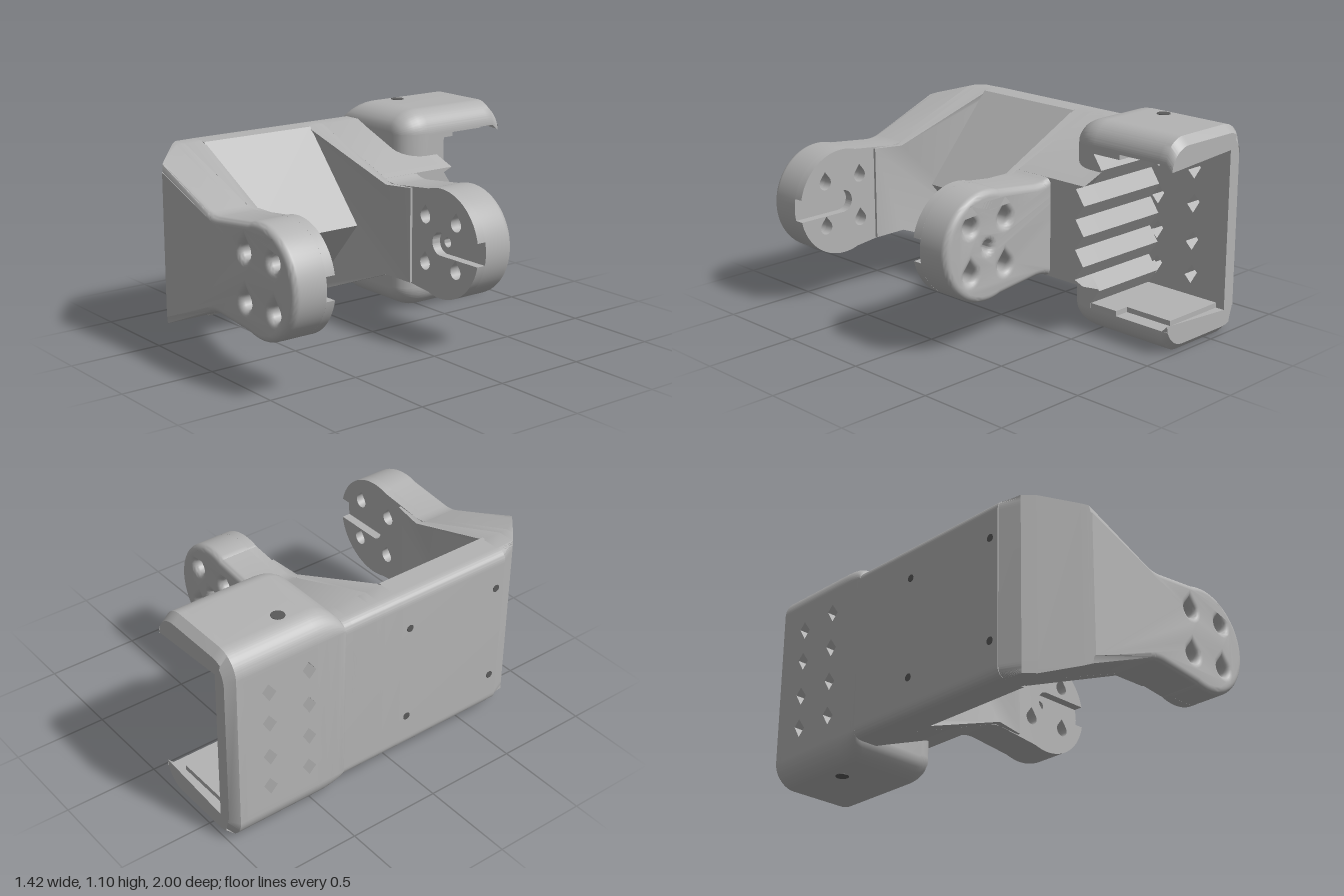
import * as THREE from 'three';
import { toCreasedNormals } from 'three/addons/utils/BufferGeometryUtils.js';

const MID = 0.547;                       // height of the symmetry plane
const plastic = new THREE.MeshStandardMaterial({ color: 0xb3b3b3 });
plastic.name = 'grey plastic';
const bore = new THREE.MeshStandardMaterial({ color: 0x5a5a5a });
bore.name = 'dark bore';

// Extrude a shape from z0 to z1; `bevel` rounds only the z1 end
function extrude(shape, z0, z1, { bevel = 0, thick = bevel, steps = 1 } = {}) {
  const depth = z1 - z0 - thick;
  const geo = new THREE.ExtrudeGeometry(shape, {
    depth, steps, curveSegments: 20, bevelEnabled: bevel > 0,
    bevelSize: bevel, bevelThickness: thick, bevelOffset: -bevel, bevelSegments: 6,
  });
  return reshape(geo, p => { p.z = Math.max(p.z, 0) + z0; });
}

function reshape(geo, rule) {
  const pos = geo.attributes.position, p = new THREE.Vector3();
  for (let i = 0; i < pos.count; i++) {
    p.fromBufferAttribute(pos, i);
    rule(p);
    pos.setXYZ(i, p.x, p.y, p.z);
  }
  return geo;
}

function add(group, name, geo, material = plastic) {
  const mesh = new THREE.Mesh(toCreasedNormals(geo.index ? geo.toNonIndexed() : geo, 0.6), material);
  mesh.name = name;
  group.add(mesh);
  return mesh;
}

const polygon = pts => new THREE.Shape(pts.map(([x, y]) => new THREE.Vector2(x, y)));

// Half height of the flared arm at x
const halfHeight = x => (x < -0.56 ? 0.465 : 0.465 - (x + 0.56) * 0.381);

// Rounded rear corners shared by all flared sections
function rearEdge(s) {
  s.lineTo(-0.65, 0.465);
  s.quadraticCurveTo(-0.71, 0.465, -0.71, 0.405);
  s.lineTo(-0.71, -0.405);
  s.quadraticCurveTo(-0.71, -0.465, -0.65, -0.465);
  return s;
}

// Flared outline ending in a round lug, optionally with a horn slot
function armOutline(slot) {
  const s = new THREE.Shape();
  s.moveTo(-0.65, -0.465);
  s.lineTo(-0.56, -0.465);
  s.lineTo(-0.01, -0.255);
  s.quadraticCurveTo(0.03, -0.24, 0.08, -0.243);
  s.lineTo(0.33, -0.27);
  if (slot) {
    s.absarc(0.42, 0, 0.285, -1.89, -0.212);
    s.lineTo(0.42, -0.06);
    s.absarc(0.42, 0, 0.06, -Math.PI / 2, Math.PI / 2, true);
    s.absarc(0.42, 0, 0.285, 0.212, 1.89);
  } else s.absarc(0.42, 0, 0.285, -1.89, 1.89);
  s.lineTo(0.08, 0.243);
  s.quadraticCurveTo(0.03, 0.24, -0.01, 0.255);
  s.lineTo(-0.56, 0.465);
  return rearEdge(s);
}

// Flared outline cut off at x
function flareOutline(x) {
  const s = new THREE.Shape();
  s.moveTo(-0.65, -0.465);
  s.lineTo(-0.56, -0.465);
  if (x > 0.03) s.lineTo(0.03, -0.24);
  s.lineTo(x, x > 0.03 ? -0.25 : -halfHeight(x));
  s.lineTo(x, x > 0.03 ? 0.25 : halfHeight(x));
  if (x > 0.03) s.lineTo(0.03, 0.24);
  s.lineTo(-0.56, 0.465);
  return rearEdge(s);
}

// Teardrop screw holes around the lug centre
function screwHoles(dir) {
  const holes = [], r = 0.038;
  for (const sx of [-1, 1]) for (const sy of [-1, 1]) {
    const pts = [new THREE.Vector2(0, r * 1.6 * dir)];
    for (let i = 0; i <= 16; i++) {
      const a = Math.PI * (0.75 + 1.5 * i / 16);
      pts.push(new THREE.Vector2(Math.cos(a) * r, Math.sin(a) * r * dir));
    }
    pts.forEach(p => p.add(new THREE.Vector2(0.42 + sx * 0.117, sy * 0.122)));
    holes.push(new THREE.Path(pts));
  }
  return holes;
}

// One arm, in the position of the front one, centred on y = 0
function makeArm(name, back) {
  const arm = new THREE.Group();
  arm.name = name;
  const chamfer = (p) => {
    const cx = -0.71 + (p.z - 0.72) * 1.07;
    if (back || p.x >= cx) return;
    p.x = cx;
    const h = halfHeight(cx) - (p.z > 0.99 ? 0.035 : 0);
    p.y = THREE.MathUtils.clamp(p.y, -h, h);
  };
  const outer = armOutline(false), inner = armOutline(true);
  outer.holes = screwHoles(back ? -1 : 1);
  inner.holes = screwHoles(back ? -1 : 1);
  if (back) outer.holes.push(new THREE.Path().absarc(0.42, 0, 0.025, 0, Math.PI * 2));
  add(arm, 'armOuterPlate', reshape(extrude(outer, 0.82, 1, { bevel: 0.035 }), chamfer));
  add(arm, 'armSlottedPlate', reshape(extrude(inner, 0.77, 0.82), chamfer));
  // Sloping gusset on the inner face
  add(arm, 'armGusset', reshape(extrude(flareOutline(0.2), 0.66, 0.77), p => {
    if (p.z < 0.7) p.z = 0.66 + Math.max(0, p.x + 0.54) * 0.13;
    chamfer(p);
  }));
  arm.position.y = MID;
  if (back) {
    arm.rotation.x = Math.PI;
    arm.position.z = 0.67;
  }
  return arm;
}

// Open pocket at the rear with a corrugated end
function makeHousing() {
  const g = new THREE.Group();
  g.name = 'rearHousing';
  const L = -0.71, R = -0.145, H = 0.547, r = 0.125;

  // Solid rounded end
  const block = new THREE.Shape();
  block.moveTo(L + r, -H);
  block.absarc(R - r, -H + r, r, -Math.PI / 2, 0);
  block.absarc(R - r, H - r, r, 0, Math.PI / 2);
  block.absarc(L + r, H - r, r, Math.PI / 2, Math.PI);
  block.absarc(L + r, -H + r, r, Math.PI, Math.PI * 1.5);
  add(g, 'roundedEnd', reshape(extrude(block, -0.5, -0.335, { bevel: 0.11, thick: 0.15 }), p => {
    const v = THREE.MathUtils.clamp((p.z + 0.485) / 0.15, 0, 1);
    const b = 0.11 * (1 - Math.sqrt(1 - v * v)), right = R - b;
    if (v > 0) p.x = right - (right - p.x) * (right - L) / (right - L - b);
  }));

  // Top and bottom walls, and the rim joining them
  const cap = (s) => {
    s.lineTo(R, H - r);
    s.absarc(R - r, H - r, r, 0, Math.PI / 2);
    s.absarc(L + r, H - r, r, Math.PI / 2, Math.PI);
    return s;
  };
  const top = new THREE.Shape();
  top.moveTo(-0.71, 0.395);
  top.lineTo(-0.6, 0.395);
  top.lineTo(-0.6, 0.42);
  top.lineTo(R, 0.42);
  cap(top);
  const topGeo = extrude(top, -0.92, -0.5);
  add(g, 'topWall', topGeo);
  add(g, 'bottomWall', topGeo.clone().rotateX(Math.PI).translate(0, 0, -1.42));
  const rim = new THREE.Shape();
  rim.moveTo(-0.6, -0.42);
  rim.lineTo(-0.6, 0.42);
  rim.lineTo(R, 0.42);
  cap(rim);
  rim.absarc(L + r, -H + r, r, Math.PI, Math.PI * 1.5);
  rim.absarc(R - r, -H + r, r, -Math.PI / 2, 0);
  rim.lineTo(R, -0.42);
  add(g, 'pocketRim', reshape(extrude(rim, -1, -0.92, { steps: 2 }), p => {
    if (p.z > -0.99) return;
    if (Math.abs(p.y) > 0.425) p.y -= Math.sign(p.y) * 0.04;
    if (p.x < -0.65) p.x += 0.04;
  }));

  // Side wall pierced by diamond vents
  const wall = polygon([[-0.92, -0.4], [-0.5, -0.4], [-0.5, 0.4], [-0.92, 0.4]]);
  const vents = [[-0.55, [-0.28, -0.09, 0.1, 0.3]], [-0.78, [-0.28, -0.1, 0.1, 0.28]]];
  for (const [z, rows] of vents) for (const y of rows) {
    wall.holes.push(polygon([[z - 0.04, y + 0.015], [z, y - 0.05], [z + 0.04, y - 0.01], [z - 0.005, y + 0.05]]));
  }
  const alongX = (shape, x0, x1) => extrude(shape, 0, x1 - x0).rotateY(-Math.PI / 2).translate(x1, 0, 0);
  add(g, 'ventedWall', alongX(wall, L, -0.6));

  // Corrugated pocket end
  const ridges = [[-0.49, 0.395], [-0.49, -0.395]];
  for (let i = 0; i <= 10; i++) ridges.push([i % 2 ? -0.555 : -0.5, -0.395 + 0.079 * i]);
  const strip = polygon(ridges);
  add(g, 'corrugation', alongX(strip, -0.62, R));
  add(g, 'corrugationTip', reshape(alongX(strip, R, -0.02), p => {
    const h = halfHeight(p.x);
    p.y = THREE.MathUtils.clamp(p.y, -h, h);
  }));

  // Raised pads on the inner top and bottom
  for (const s of [-1, 1]) {
    add(g, 'innerPad', new THREE.BoxGeometry(0.38, 0.03, 0.42).translate(-0.42, s * 0.408, -0.74));
    add(g, 'innerStep', new THREE.BoxGeometry(0.46, 0.03, 0.17).translate(-0.376, s * 0.408, -0.585));
    const hole = new THREE.CylinderGeometry(0.035, 0.035, 0.006, 20);
    add(g, 'capScrewHole', hole.translate(-0.55, s * H, -0.61), bore);
  }
  g.position.y = MID;
  return g;
}

export function createModel() {
  const model = new THREE.Group();
  model.name = 'hingeBracket';
  model.add(makeArm('frontArm', false), makeArm('backArm', true), makeHousing());

  // Spine with a ridged inner face
  const spine = new THREE.Shape();
  spine.moveTo(-0.65, -0.465);
  spine.lineTo(-0.54, -0.465);
  spine.lineTo(-0.13, 0);
  spine.lineTo(-0.54, 0.465);
  add(model, 'spine', extrude(rearEdge(spine), 0, 0.67)).position.y = MID;

  // Block joining the back arm to the housing
  add(model, 'joiningBlock', extrude(flareOutline(-0.02), -0.5, -0.1)).position.y = MID;

  // Small screw holes on the outer spine face
  for (const z of [0.06, 0.62]) for (const y of [-0.27, 0.27]) {
    const hole = new THREE.CylinderGeometry(0.02, 0.02, 0.004, 16).rotateZ(Math.PI / 2);
    add(model, 'spineScrewHole', hole.translate(-0.71, y + MID, z), bore);
  }
  return model;
}
